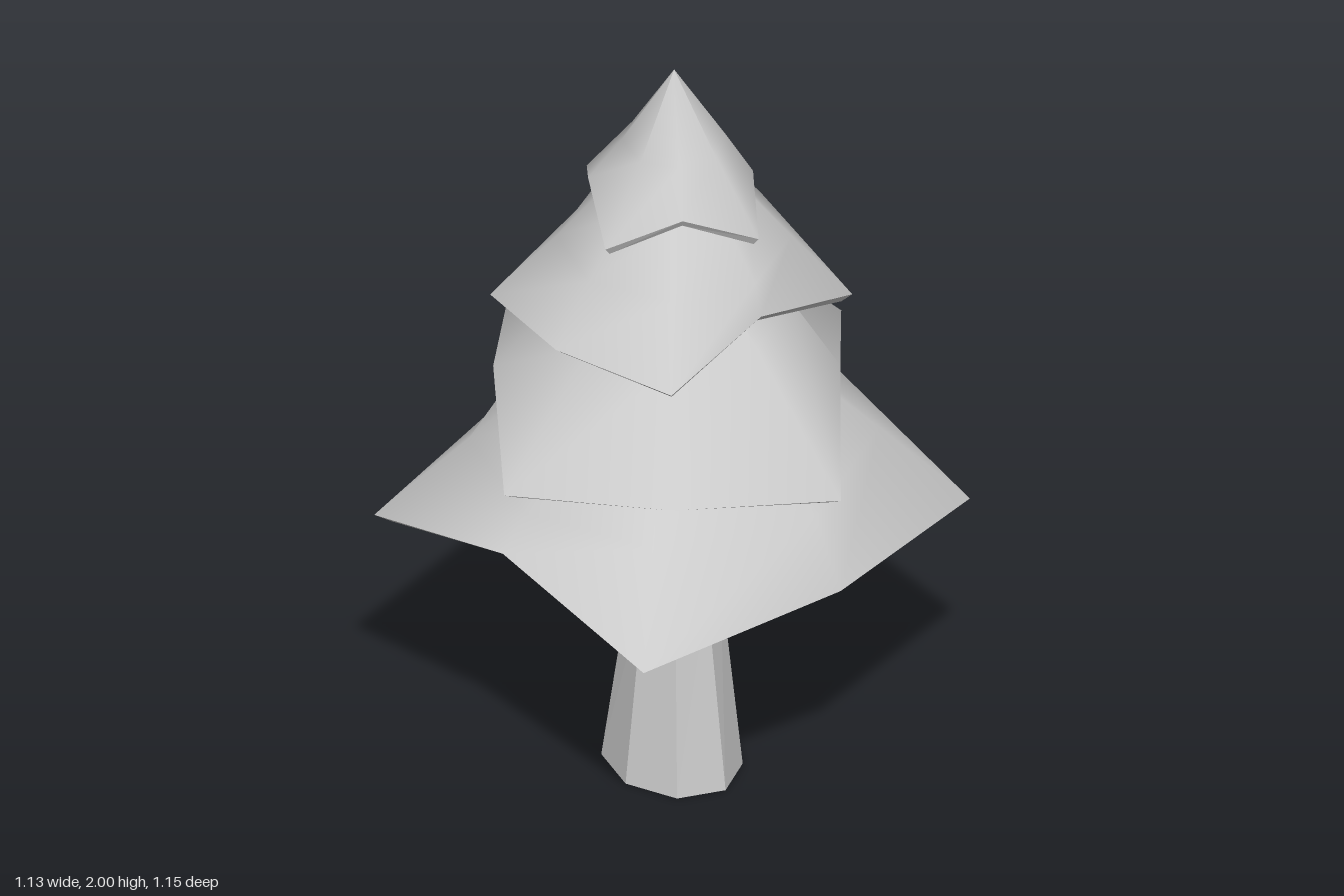
import * as THREE from 'three';

// Skins a list of equal-length closed rings of [x, y, z] points, from bottom to top
function loft(rings) {
  const n = rings[0].length, index = [];
  for (let i = 0; i < rings.length - 1; i++) {
    for (let j = 0; j < n; j++) {
      const k = (j + 1) % n;
      const a = i * n + j, b = i * n + k, c = a + n, d = b + n;
      index.push(a, b, d, a, d, c);
    }
  }
  const g = new THREE.BufferGeometry();
  g.setAttribute('position', new THREE.Float32BufferAttribute(rings.flat(2), 3));
  g.setIndex(index);
  g.computeVertexNormals();
  return g;
}

// Eight-sided ellipse, starting at the front and turning towards +x
function ellipse(y, cx, cz, rx, rz) {
  return Array.from({ length: 8 }, (_, j) => {
    const a = j * Math.PI / 4;
    return [cx + rx * Math.sin(a), y, cz + rz * Math.cos(a)];
  });
}

// rim: drooping corners alternating with raised middles, from the front towards +x
// shoulders: [radius, height] of the rings between rim and apex
const TIERS = [
  {
    name: 'bottomTier', apex: 1.4, hollow: 0.96, shoulders: [[0.49, 0.95], [0.29, 1.14]],
    rim: [[0, 0.78, 0.575], [0.54, 0.735, 0.455], [0.54, 0.87, 0], [0.54, 0.735, -0.475],
      [0, 0.87, -0.5], [-0.535, 0.735, -0.475], [-0.565, 0.87, 0], [-0.535, 0.735, 0.455]],
  },
  {
    name: 'lowerMiddleTier', apex: 1.63, hollow: 1.25, shoulders: [[0.28, 1.33]],
    rim: [[0.01, 1.03, 0.565], [0.29, 1.145, 0.27], [0.565, 1.035, -0.015], [0.3, 1.15, -0.315],
      [0, 1.035, -0.58], [-0.31, 1.145, -0.3], [-0.56, 1.035, 0], [-0.345, 1.065, 0.355]],
  },
  {
    name: 'upperMiddleTier', apex: 1.84, hollow: 1.5, shoulders: [[0.28, 1.52], [0.165, 1.66]],
    rim: [[0, 1.435, 0.3], [0.31, 1.35, 0.29], [0.32, 1.44, 0], [0.295, 1.35, -0.32],
      [0, 1.44, -0.33], [-0.315, 1.35, -0.305], [-0.39, 1.375, 0], [-0.3, 1.35, 0.305]],
  },
  {
    name: 'topTier', apex: 2, hollow: 1.75, shoulders: [[0.125, 1.8]],
    rim: [[0.04, 1.615, 0.25], [0.155, 1.69, 0.11], [0.255, 1.615, 0.04 - 0.08], [0.14, 1.69, -0.19],
      [-0.04, 1.615, -0.26], [-0.15, 1.69, -0.14], [-0.255, 1.615, 0.03], [-0.115, 1.69, 0.15]],
  },
];

export function createModel() {
  const tree = new THREE.Group();
  tree.name = 'coniferTree';
  const smooth = new THREE.MeshStandardMaterial({ color: 0xcccccc });
  const flat = new THREE.MeshStandardMaterial({ color: 0xcccccc, flatShading: true });
  const add = (parent, name, geometry, material) => {
    const mesh = new THREE.Mesh(geometry, material);
    mesh.name = name;
    parent.add(mesh);
  };

  // Tapering trunk with a flared foot
  add(tree, 'trunk', loft([
    ellipse(0, 0.012, -0.02, 0, 0),
    ellipse(0, 0.012, -0.02, 0.153, 0.185),
    ellipse(0.53, 0.01, -0.006, 0.105, 0.11),
    ellipse(1.05, 0.018, 0, 0.07, 0.08),
  ]), flat);

  // Stacked branch tiers: smooth canopy, sharp rim and hollow underside
  for (const { name, apex, hollow, shoulders, rim } of TIERS) {
    const tier = new THREE.Group();
    tier.name = name;
    const point = (y) => rim.map(() => [0, y, 0]);
    const shoulder = ([r, y]) => rim.map(([x, , z]) => {
      const s = r / Math.hypot(x, z);
      return [x * s, y, z * s];
    });
    const lip = rim.map(([x, y, z]) => [x * 0.94, y - 0.02, z * 0.94]);
    add(tier, 'canopy', loft([rim, ...shoulders.map(shoulder), point(apex)]), smooth);
    add(tier, 'rim', loft([lip, rim]), flat);
    add(tier, 'underside', loft([point(hollow), lip]), smooth);
    tree.add(tier);
  }
  return tree;
}
